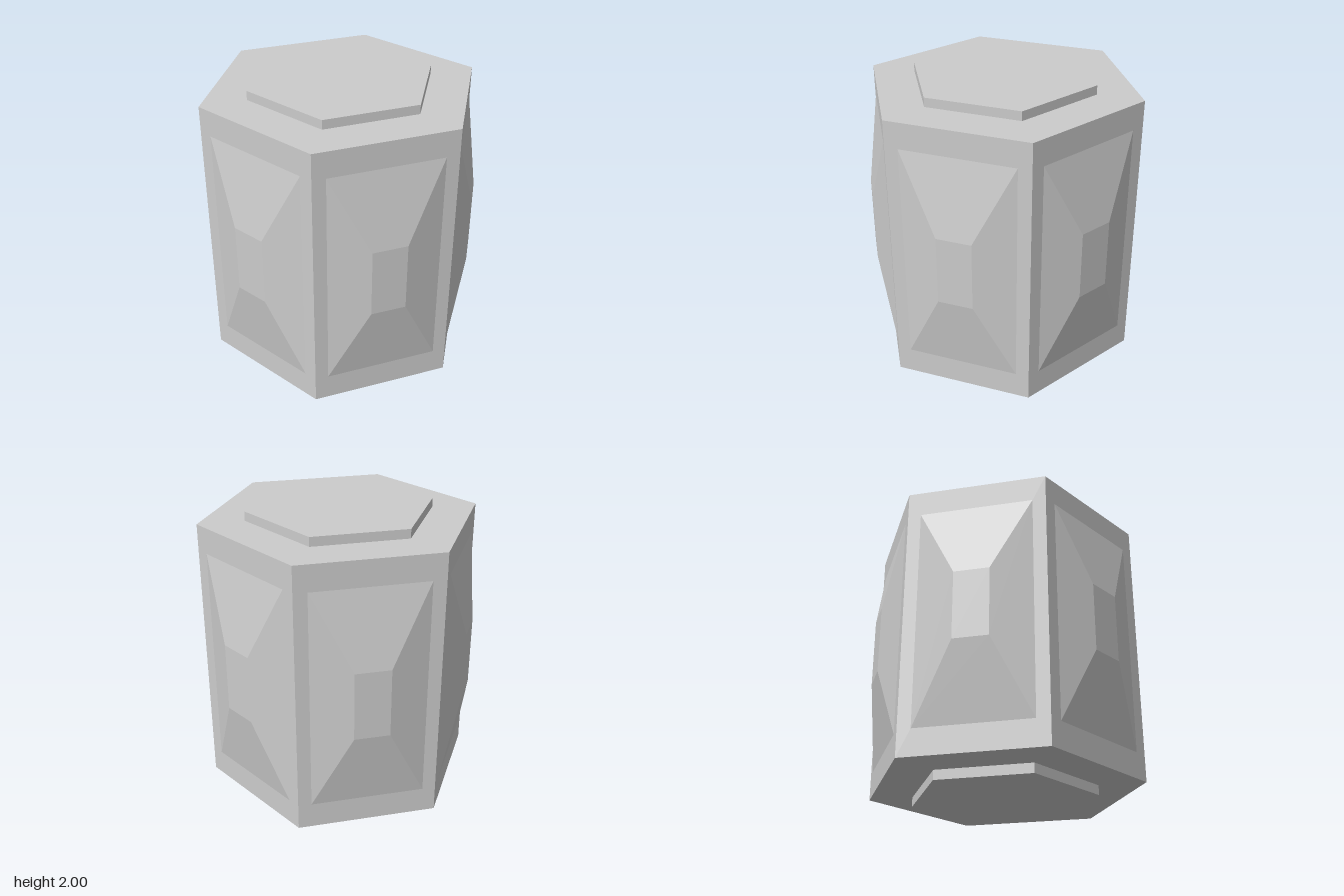
import * as THREE from 'three';

const material = new THREE.MeshStandardMaterial({ color: 0xcccccc, flatShading: true });

// Six-sided prism with corners on the z axis
function hexPrism(name, radius, bottom, top) {
  const mesh = new THREE.Mesh(new THREE.CylinderGeometry(radius, radius, top - bottom, 6), material);
  mesh.name = name;
  mesh.position.y = (bottom + top) / 2;
  return mesh;
}

// Box whose front face is narrowed into a bevelled plateau
function bevelledPanel(width, height, topWidth, topHeight, depth) {
  const geometry = new THREE.BoxGeometry(width, height, depth);
  const p = geometry.attributes.position;
  for (let i = 0; i < p.count; i++) {
    if (p.getZ(i) > 0) {
      p.setX(i, Math.sign(p.getX(i)) * topWidth / 2);
      p.setY(i, Math.sign(p.getY(i)) * topHeight / 2);
    }
  }
  geometry.computeVertexNormals();
  return geometry;
}

export function createModel() {
  const group = new THREE.Group();
  group.name = 'hexagonalDrum';

  const radius = 0.937;
  const apothem = radius * Math.cos(Math.PI / 6);
  const bodyBottom = 0.065, bodyTop = 1.938;

  // Main body with a thin raised plate at each end
  group.add(hexPrism('body', radius, bodyBottom, bodyTop));
  group.add(hexPrism('topPlate', 0.63, bodyTop, 2));
  group.add(hexPrism('bottomPlate', 0.63, 0, bodyBottom));

  // One bevelled panel on each side face
  const depth = 0.087;
  const panelGeometry = bevelledPanel(0.76, 1.52, 0.235, 0.47, depth);
  for (let i = 0; i < 6; i++) {
    const angle = Math.PI / 6 + i * Math.PI / 3;
    const panel = new THREE.Mesh(panelGeometry, material);
    const r = apothem + depth / 2;
    panel.name = `sidePanel${i + 1}`;
    panel.position.set(Math.sin(angle) * r, 1.003, Math.cos(angle) * r);
    panel.rotation.y = angle;
    group.add(panel);
  }

  return group;
}
